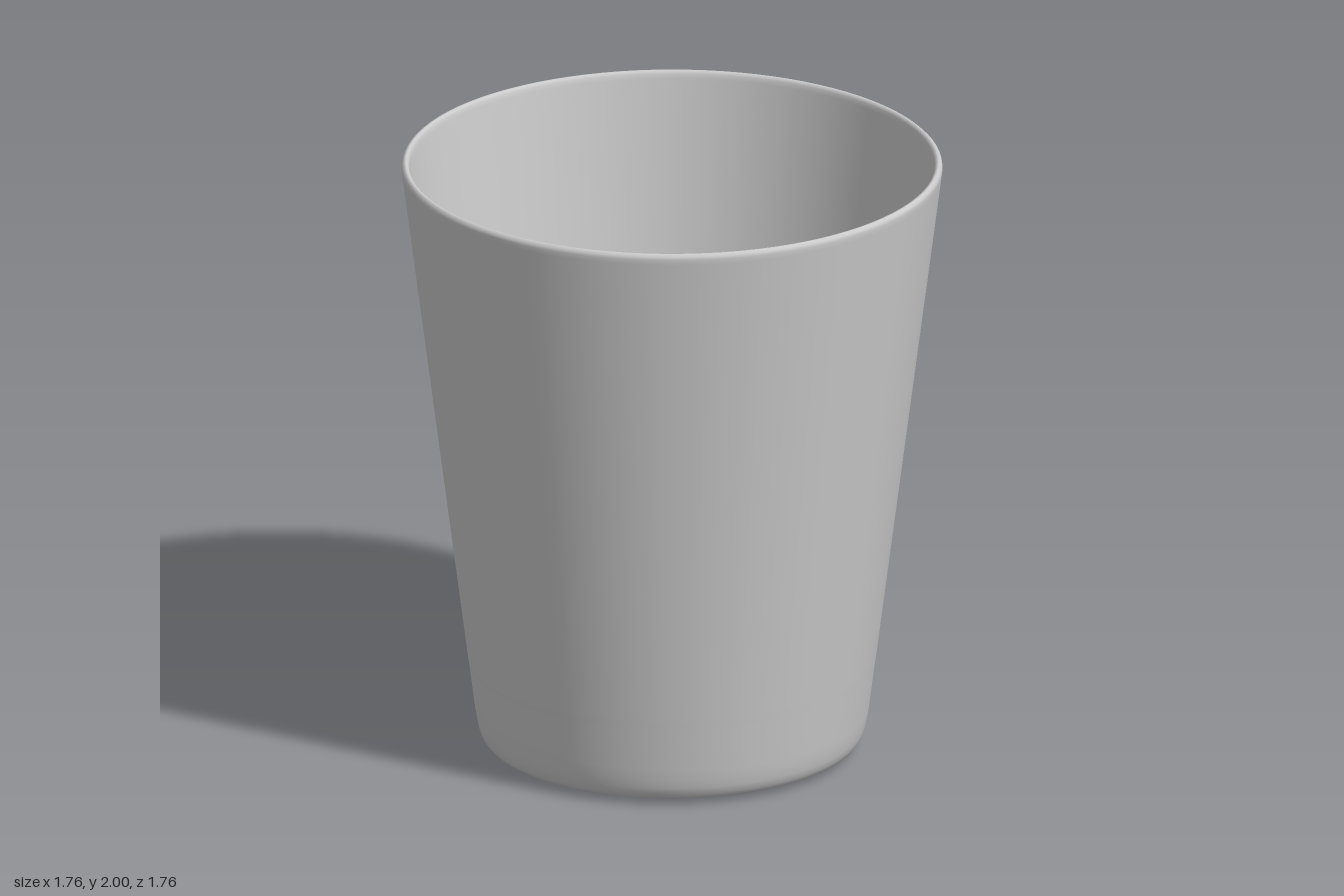
import * as THREE from 'three';

export function createModel() {
  const group = new THREE.Group();
  const material = new THREE.MeshStandardMaterial({ color: 0xcccccc });

  // One closed profile (radius, height): underside, outer wall, rim, inner wall, thick floor
  const profile = [
    // underside with softly rounded foot
    [0, 0], [0.47, 0], [0.49, 0.002], [0.56, 0.01], [0.59, 0.016], [0.608, 0.026],
    [0.62, 0.042], [0.628, 0.065], [0.634, 0.095], [0.64, 0.13],
    // tapered outer wall
    [0.658, 0.27], [0.661, 0.29], [0.665, 0.32], [0.77, 1.14], [0.876, 1.965],
    // rounded rim
    [0.878, 1.982], [0.876, 1.992], [0.869, 1.999], [0.864, 2], [0.858, 1.998], [0.853, 1.99], [0.851, 1.975],
    // inner wall
    [0.848, 1.95], [0.755, 1.15], [0.66, 0.345],
    // small fillet into the raised floor
    [0.657, 0.325], [0.652, 0.312], [0.645, 0.308], [0.635, 0.308], [0, 0.308],
  ].map(([r, y]) => new THREE.Vector2(r, y));

  const cup = new THREE.Mesh(new THREE.LatheGeometry(profile, 96), material);
  cup.name = 'cup';
  group.add(cup);
  return group;
}
